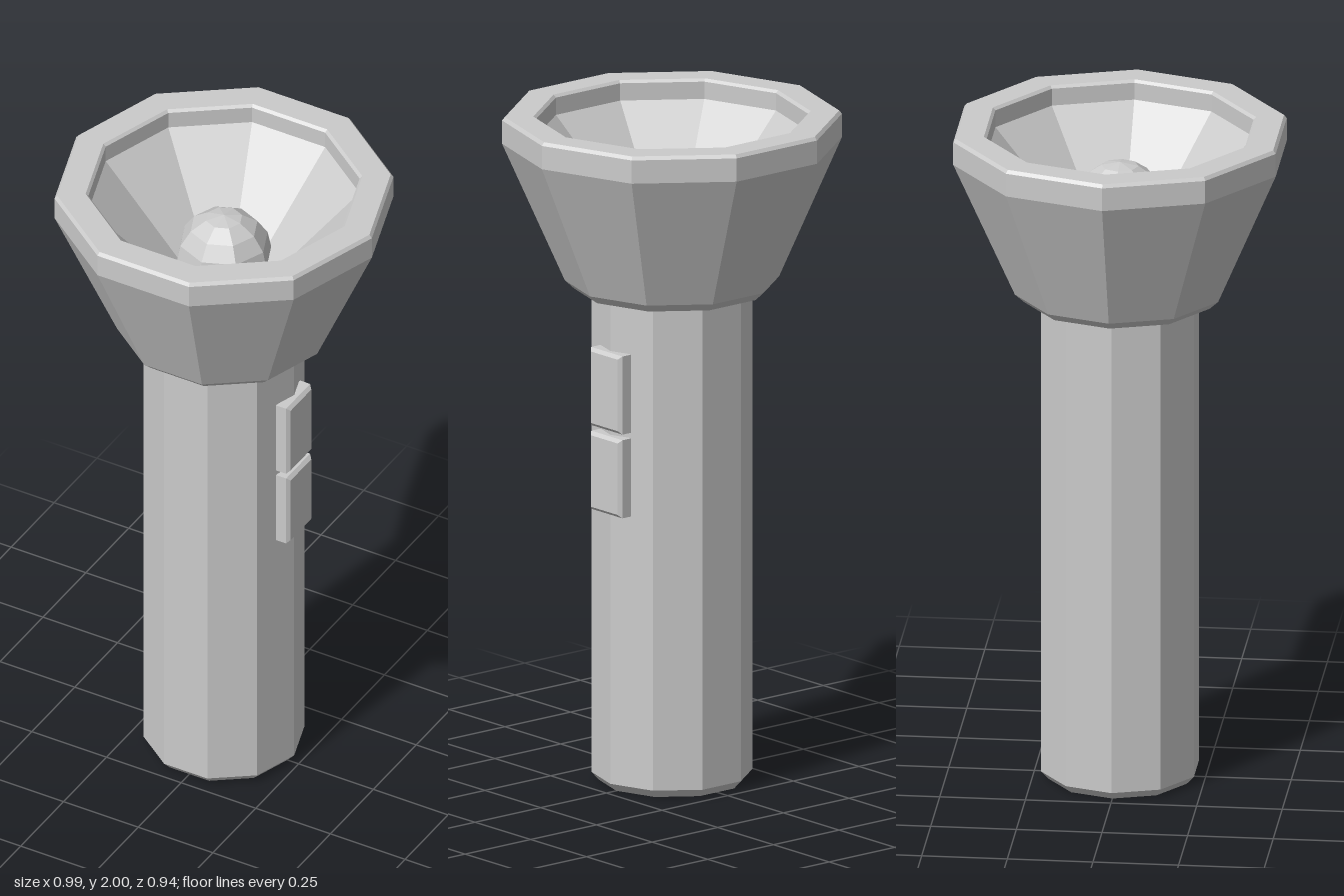
import * as THREE from 'three';

const SIDES = 10;

export function createModel() {
  const model = new THREE.Group();
  model.name = 'flashlight';
  const material = new THREE.MeshStandardMaterial({ color: 0xcccccc, flatShading: true });

  const add = (name, geometry, x = 0, y = 0, z = 0) => {
    const mesh = new THREE.Mesh(geometry, material);
    mesh.name = name;
    mesh.position.set(x, y, z);
    model.add(mesh);
    return mesh;
  };

  // Ten-sided turned part with a corner on the x axis
  const turned = (profile) => new THREE.LatheGeometry(
    profile.map(([r, y]) => new THREE.Vector2(r, y)), SIDES, Math.PI / 2);

  // Handle with a chamfered base
  add('handle', turned([[0, 0], [0.212, 0], [0.235, 0.025], [0.235, 1.5]]));

  // Flared head: underside, outer cone, rim band and recessed lip
  add('head', turned([
    [0.22, 1.48], [0.285, 1.48], [0.312, 1.505],
    [0.495, 1.92], [0.495, 1.99], [0.487, 2],
    [0.404, 2], [0.396, 1.992], [0.396, 1.94],
  ]));

  // Reflector bowl inside the head
  add('reflector', turned([[0.396, 1.94], [0.1, 1.62], [0, 1.62]]));

  // Faceted bulb
  add('bulb', new THREE.SphereGeometry(0.142, 8, 8), 0, 1.75, 0);

  // Two bevelled switch buttons on the left side
  const bevel = 0.01, width = 0.14, height = 0.235, depth = 0.053;
  const w = width / 2 - bevel, h = height / 2 - bevel;
  const outline = new THREE.Shape([[-w, -h], [w, -h], [w, h], [-w, h]]
    .map(([x, y]) => new THREE.Vector2(x, y)));
  const button = new THREE.ExtrudeGeometry(outline, {
    depth: depth - 2 * bevel, bevelSize: bevel, bevelThickness: bevel, bevelSegments: 1,
  });
  button.rotateY(Math.PI / 2);
  add('lowerButton', button, 0.205 + bevel, 0.958, 0);
  add('upperButton', button, 0.205 + bevel, 1.21, 0);

  return model;
}
